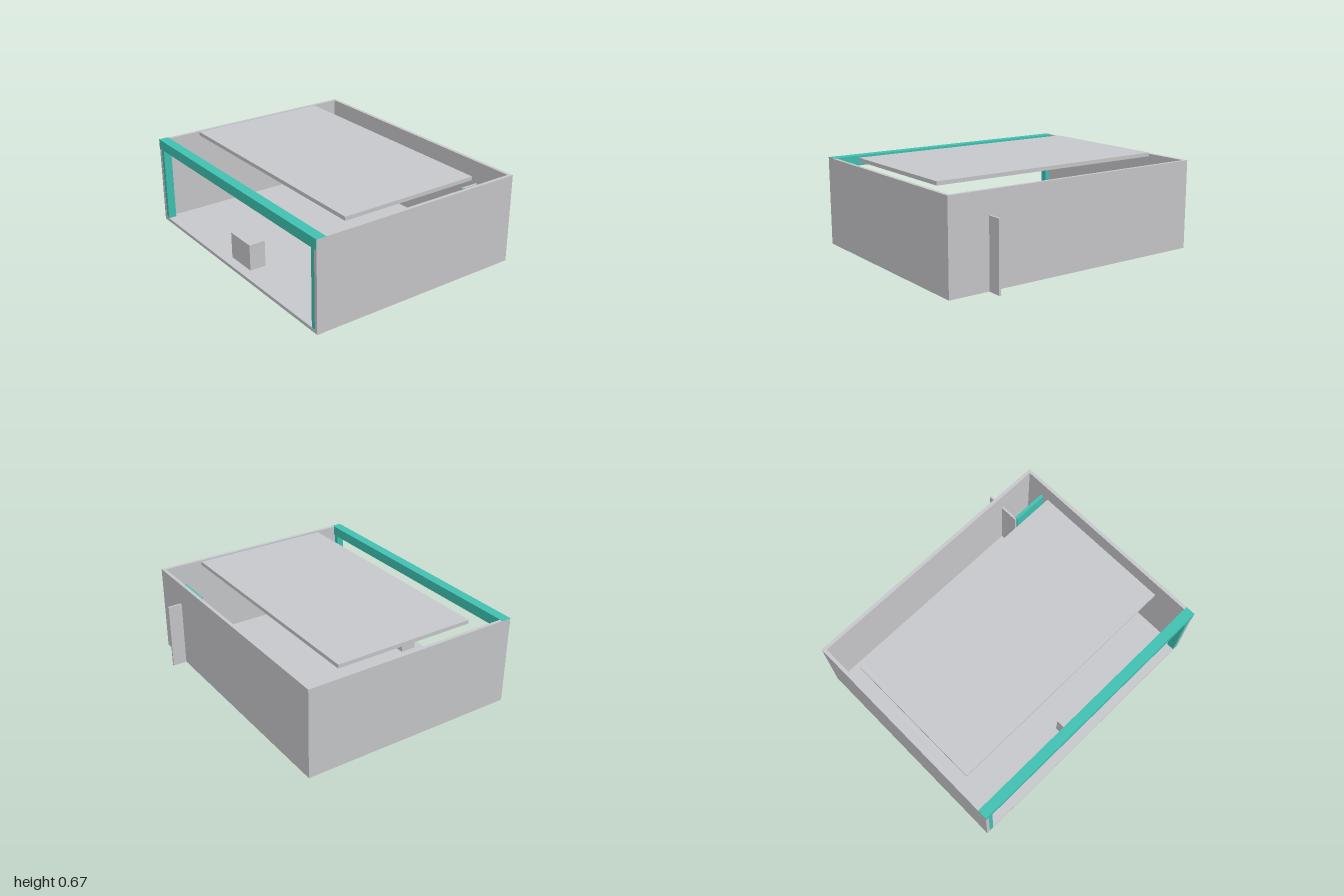
import * as THREE from 'three';

export function createModel() {
  const group = new THREE.Group();
  group.name = 'openRoom';

  const grey = new THREE.MeshStandardMaterial({ color: 0xc6c7ca });
  grey.name = 'wallGrey';
  const teal = new THREE.MeshStandardMaterial({ color: 0x40c1b1 });
  teal.name = 'trimTeal';

  // Box given by its [min, max] extent on each axis
  function box(name, material, [x0, x1], [y0, y1], [z0, z1]) {
    const geometry = new THREE.BoxGeometry(x1 - x0, y1 - y0, z1 - z0);
    const mesh = new THREE.Mesh(geometry, material);
    mesh.position.set((x0 + x1) / 2, (y0 + y1) / 2, (z0 + z1) / 2);
    mesh.name = name;
    group.add(mesh);
  }

  const back = -0.75, front = 0.85, wall = 0.025, top = 0.643, base = 0.001;

  // Shell: floor, back wall and a roof panel smaller than the room
  box('floor', grey, [-1 + wall, 1 - wall], [base, wall], [back + wall, front]);
  box('backWall', grey, [-1 + wall, 1 - wall], [base, top], [back, back + wall]);
  box('roofPanel', grey, [-0.9, 0.9], [top, 0.67], [-0.47, 0.57]);

  // Side walls and the posts set into their front ends
  for (const [side, s] of [['left', 1], ['right', -1]]) {
    const span = (a, b) => [Math.min(s * a, s * b), Math.max(s * a, s * b)];
    box(side + 'Wall', grey, span(1 - wall, 1), [base, top], [back, front]);
    box(side + 'Post', teal, span(0.942, 0.999), [0, 0.6], [0.79, front - 0.001]);
  }

  // Header beam across the open front
  box('headerBeam', teal, [-0.999, 0.999], [0.573, top + 0.002], [0.78, front + 0.002]);

  // Low block just inside the opening
  box('block', grey, [-0.12, 0.12], [wall, 0.215], [0.66, 0.78]);

  // Corner partition and the fin that passes through the back wall
  box('partition', teal, [0.705, 0.975], [0, 0.485], [-0.6, -0.576]);
  box('fin', grey, [0.69, 0.705], [0, 0.483], [-0.853, -0.586]);

  return group;
}
